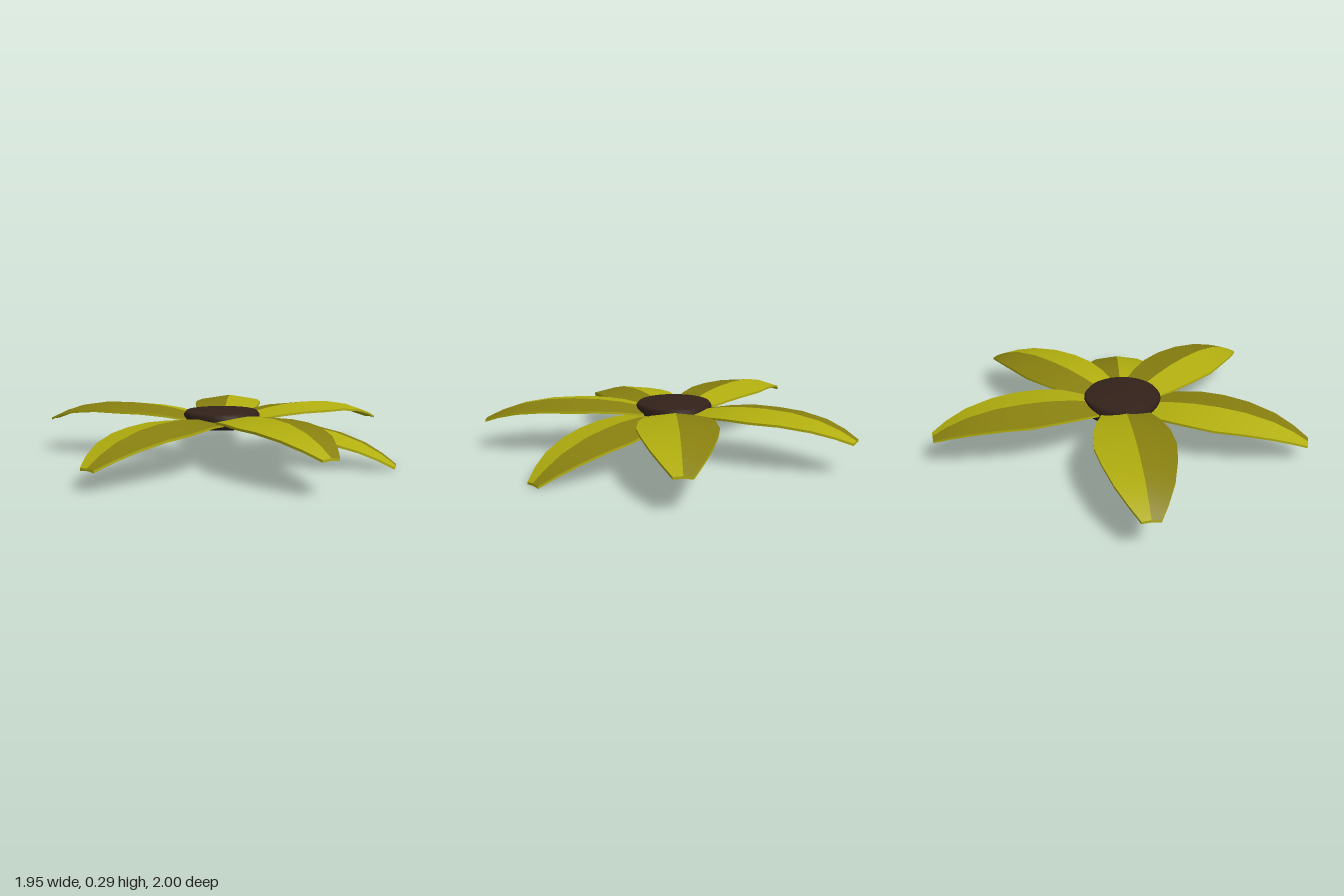
import * as THREE from 'three';
import { mergeGeometries } from 'three/addons/utils/BufferGeometryUtils.js';

const CENTRE = [-0.02, 0.003];
const THICKNESS = 0.012;

// distance along the petal, half width, ridge height, droop of the edges
const STATIONS = [
  [0.06, 0.08, 0.215, 0.01],
  [0.15, 0.125, 0.235, 0.015],
  [0.28, 0.168, 0.262, 0.02],
  [0.40, 0.193, 0.278, 0.025],
  [0.53, 0.2, 0.284, 0.03],
  [0.67, 0.177, 0.28, 0.027],
  [0.815, 0.137, 0.256, 0.02],
  [0.92, 0.09, 0.22, 0.012],
  [1.0, 0.044, 0.18, 0.004],
];

// tip x, tip z, how far the tip hangs below (or above) the usual height
const PETALS = [
  ['back', 0.2, -0.992, 0.005],
  ['backLeft', 0.958, -0.335, 0.005],
  ['frontLeft', 0.812, 0.44, 0.164],
  ['front', 0.293, 0.99, 0.005],
  ['frontRight', -0.73, 0.72, 0.072],
  ['backRight', -0.958, -0.4, -0.015],
];

// surface between two lines of points, smooth along its length
function strip(a, b) {
  const position = [], index = [];
  a.forEach((p, i) => {
    position.push(...p, ...b[i]);
    if (i) {
      const k = 2 * i;
      index.push(k - 2, k - 1, k, k - 1, k + 1, k);
    }
  });
  const g = new THREE.BufferGeometry();
  g.setAttribute('position', new THREE.Float32BufferAttribute(position, 3));
  g.setIndex(index);
  g.computeVertexNormals();
  return g;
}

function createPetal(name, tipX, tipZ, hang, materials) {
  const rx = tipX - CENTRE[0], rz = tipZ - CENTRE[1];
  const length = Math.hypot(rx, rz);
  const dx = rx / length, dz = rz / length;

  // side: -1 one edge, 0 ridge, 1 other edge
  const line = (side, lower) => STATIONS.map(([t, w, y, droop]) => {
    const u = t * length, v = side * w;
    return [
      CENTRE[0] + dx * u - dz * v,
      y - hang * t - Math.abs(side) * droop - lower,
      CENTRE[1] + dz * u + dx * v,
    ];
  });
  const top = [-1, 0, 1].map((s) => line(s, 0));
  const low = [-1, 0, 1].map((s) => line(s, THICKNESS));
  const ends = (lines) => lines.map((l) => l[l.length - 1]);

  const petal = new THREE.Group();
  petal.name = name + 'Petal';
  const add = (part, geometry, material) => {
    const mesh = new THREE.Mesh(geometry, material);
    mesh.name = part;
    petal.add(mesh);
  };
  // the two upper halves meet at the ridge in two shades
  add('darkHalf', strip(top[0], top[1]), materials.dark);
  add('brightHalf', strip(top[1], top[2]), materials.bright);
  // underside, rims and blunt tip
  add('underside', mergeGeometries([
    strip(low[1], low[0]),
    strip(low[2], low[1]),
    strip(low[0], top[0]),
    strip(top[2], low[2]),
    strip(ends(low), ends(top)),
  ]), materials.bright);
  return petal;
}

export function createModel() {
  const model = new THREE.Group();
  model.name = 'flower';
  const materials = {
    bright: new THREE.MeshStandardMaterial({ color: 0xb2af0f }),
    dark: new THREE.MeshStandardMaterial({ color: 0x88800f }),
  };
  for (const [name, x, z, hang] of PETALS) {
    model.add(createPetal(name, x, z, hang, materials));
  }

  // flower centre: a thick disc with a bevelled upper rim
  const profile = [[0, 0.18], [0.208, 0.18], [0.208, 0.245], [0.195, 0.262], [0, 0.266]]
    .map(([r, y]) => new THREE.Vector2(r, y));
  const disc = new THREE.Mesh(
    new THREE.LatheGeometry(profile, 32),
    new THREE.MeshStandardMaterial({ color: 0x33221a }),
  );
  disc.name = 'flowerCentre';
  disc.position.set(CENTRE[0] - 0.005, 0, CENTRE[1]);
  model.add(disc);
  return model;
}
